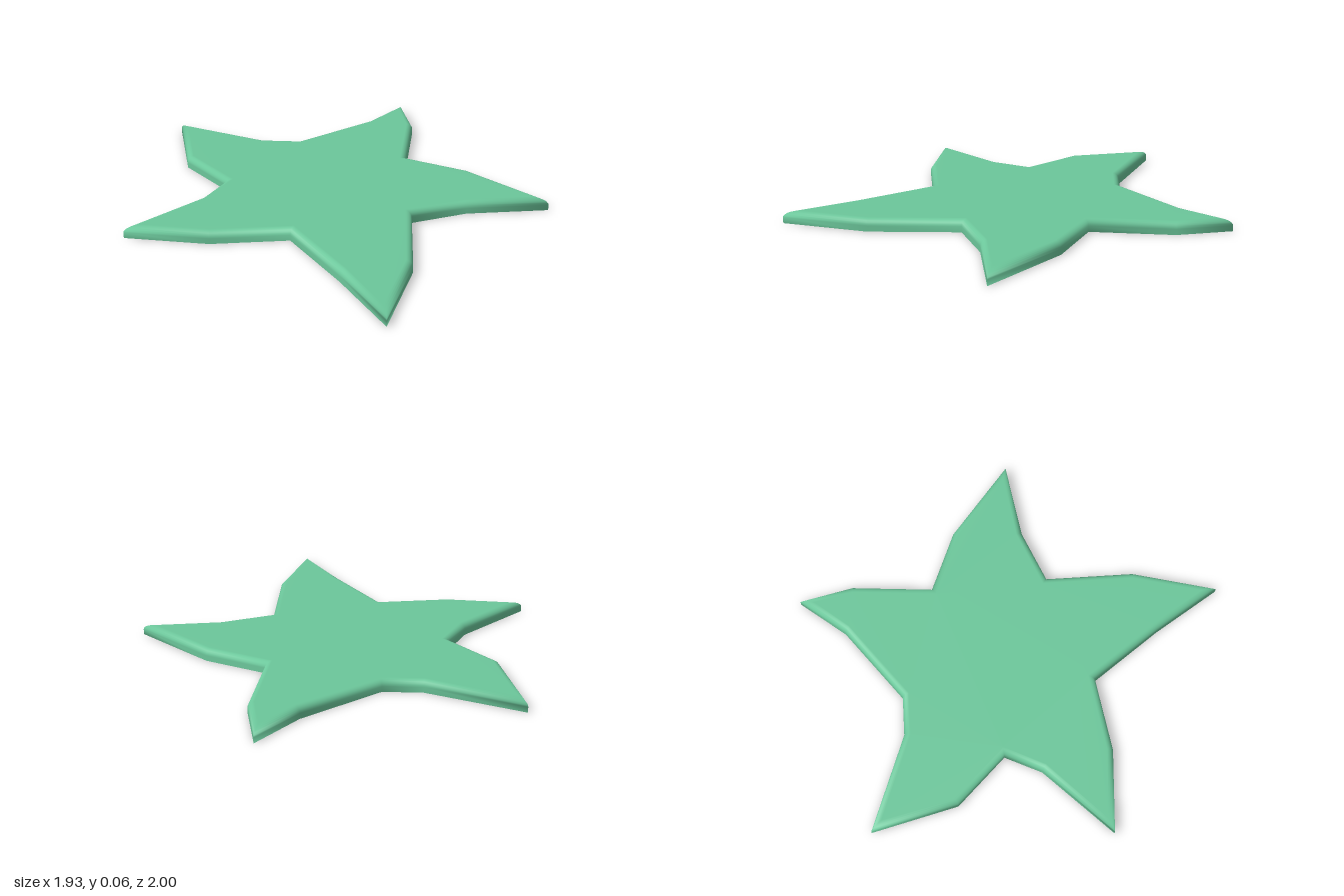
import * as THREE from 'three';

// Star outline as [x, z], clockwise seen from above: each arm has a tip and soft bends.
const outline = [
  [0.02, -1], [0.14, -0.52], [0.25, -0.36], [0.68, -0.22],
  [0.965, -0.2], [0.78, 0], [0.43, 0.2], [0.5, 0.52],
  [0.465, 0.995], [0.195, 0.705], [-0.04, 0.55], [-0.4, 0.8],
  [-0.805, 0.945], [-0.655, 0.595], [-0.515, 0.205], [-0.765, -0.065],
  [-0.965, -0.41], [-0.525, -0.33], [-0.33, -0.36], [-0.265, -0.68],
].map(([x, z]) => new THREE.Vector2(x, z));

const HEIGHT = 0.06;
const ROUND = 0.032;

// Mitred inset direction at each corner, for an inset of one unit.
const inward = (a, b) => new THREE.Vector2(a.y - b.y, b.x - a.x).normalize();
const miters = outline.map((p, i) => {
  const n = outline.length;
  const n1 = inward(outline[(i + n - 1) % n], p);
  const n2 = inward(p, outline[(i + 1) % n]);
  return n1.clone().add(n2).divideScalar(1 + n1.dot(n2));
});

// Rim profile: a short vertical wall, then a quarter round up to the flat top.
const profile = [[0, 0]];
const STEPS = 6;
for (let k = 0; k <= STEPS; k++) {
  const a = (k / STEPS) * Math.PI / 2;
  profile.push([ROUND * (1 - Math.cos(a)), HEIGHT - ROUND * (1 - Math.sin(a))]);
}

function starShell() {
  const n = outline.length;
  const positions = [];
  const indices = [];
  for (const [inset, y] of profile) {
    outline.forEach((p, i) => {
      positions.push(p.x + miters[i].x * inset, y, p.y + miters[i].y * inset);
    });
  }
  // Rounded side wall
  for (let k = 0; k < profile.length - 1; k++) {
    for (let i = 0; i < n; i++) {
      const a = k * n + i, b = k * n + (i + 1) % n;
      indices.push(a, a + n, b + n, a, b + n, b);
    }
  }
  // Flat top, every triangle facing up; the underside stays open
  const base = (profile.length - 1) * n;
  const top = outline.map((p, i) => p.clone().addScaledVector(miters[i], ROUND));
  for (const [a, b, c] of THREE.ShapeUtils.triangulateShape(top, [])) {
    const turn = top[b].clone().sub(top[a]).cross(top[c].clone().sub(top[a]));
    indices.push(base + a, base + (turn < 0 ? b : c), base + (turn < 0 ? c : b));
  }
  const geometry = new THREE.BufferGeometry();
  geometry.setAttribute('position', new THREE.Float32BufferAttribute(positions, 3));
  geometry.setIndex(indices);
  geometry.computeVertexNormals();
  return geometry;
}

export function createModel() {
  const group = new THREE.Group();
  group.name = 'starfish';
  const material = new THREE.MeshStandardMaterial({ color: 0x6cc79b, side: THREE.DoubleSide });
  const star = new THREE.Mesh(starShell(), material);
  star.name = 'starShell';
  group.add(star);
  return group;
}
